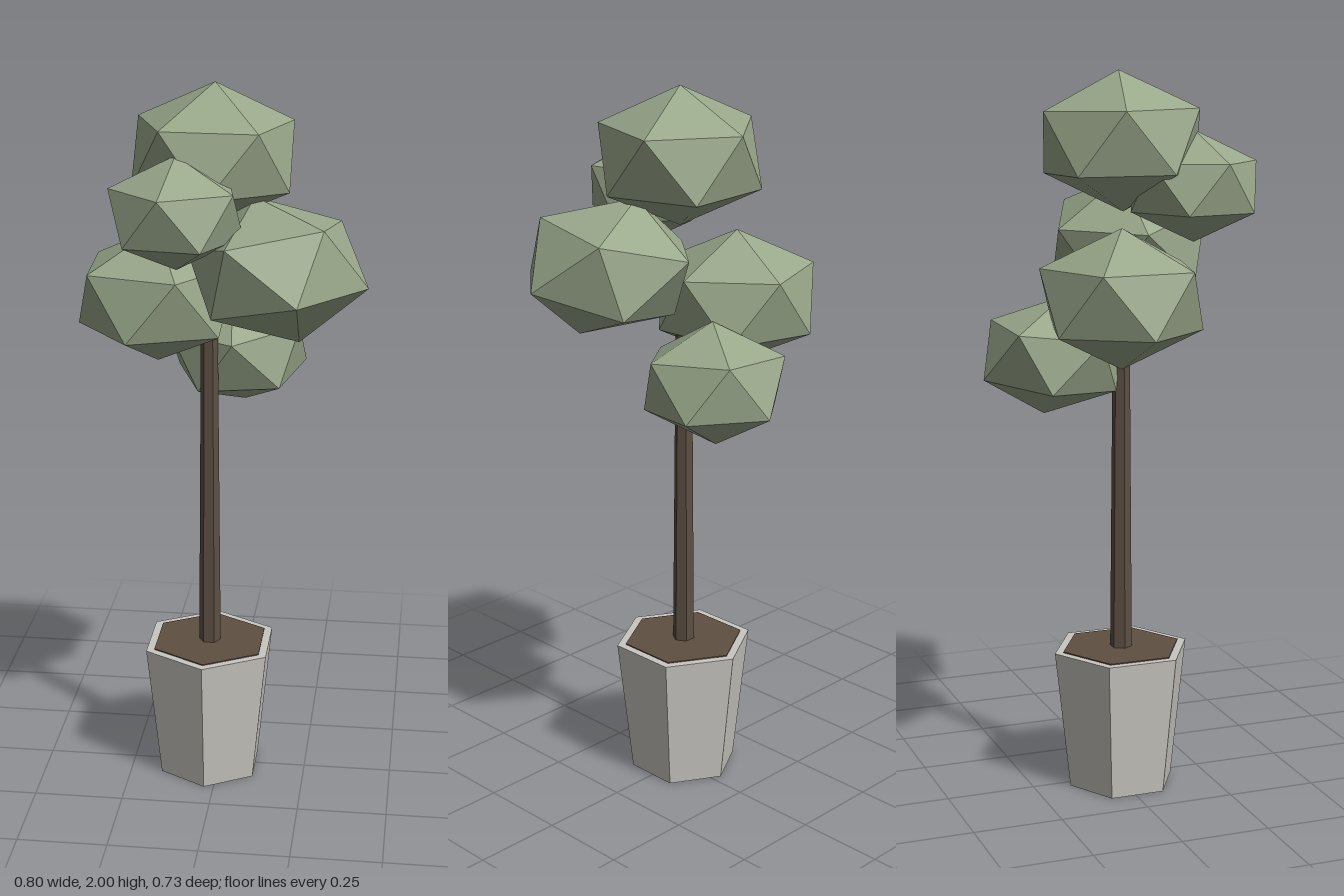
import * as THREE from 'three';

const material = (name, color, flatShading = true) => {
  const m = new THREE.MeshStandardMaterial({ color, flatShading });
  m.name = name;
  return m;
};

// Rotation frame whose first axis is a and whose second axis leans toward b
function frame(a, b) {
  const u = a.clone().normalize();
  const w = b.clone().addScaledVector(u, -b.dot(u)).normalize();
  return new THREE.Matrix4().makeBasis(u, w, new THREE.Vector3().crossVectors(u, w));
}

// Squashed icosahedron with one corner along "apex" and the next toward "neighbour"
function leafBall(radius, apex, neighbour) {
  const t = (1 + Math.sqrt(5)) / 2;
  const source = frame(new THREE.Vector3(-1, t, 0), new THREE.Vector3(1, t, 0));
  const target = frame(new THREE.Vector3(...apex), new THREE.Vector3(...neighbour));
  const geometry = new THREE.IcosahedronGeometry(radius, 0);
  geometry.applyMatrix4(target.multiply(source.transpose()));
  geometry.scale(1, 0.77, 1);
  return geometry;
}

// Neighbour direction for balls standing upright, turned by an angle in degrees
const turned = (deg) => [Math.cos(deg * Math.PI / 180), 0, Math.sin(deg * Math.PI / 180)];

export function createModel() {
  const group = new THREE.Group();
  group.name = 'pottedTree';

  const concrete = material('pale concrete', 0xc8c6c0);
  const earth = material('brown soil', 0x5f4f42);
  const bark = material('dark bark', 0x5c4f43);
  const leaves = material('sage green leaves', 0x99a78a);

  const add = (name, geometry, mat, x, y, z) => {
    const mesh = new THREE.Mesh(geometry, mat);
    mesh.name = name;
    mesh.position.set(x, y, z);
    group.add(mesh);
  };

  // Tapered six-sided pot with soil on top
  const cx = -0.027, cz = 0.005, potHeight = 0.396;
  add('pot', new THREE.CylinderGeometry(0.197, 0.153, potHeight, 6), concrete, cx, potHeight / 2, cz);
  add('soil', new THREE.CylinderGeometry(0.172, 0.172, 0.006, 6), earth, cx, potHeight, cz);

  // Slim six-sided trunk reaching into the crown
  const trunk = new THREE.CylinderGeometry(0.022, 0.031, 1.1, 6);
  trunk.rotateY(Math.PI / 6);
  add('trunk', trunk, bark, cx, potHeight + 0.55, cz);

  // Crown: radius, centre, apex direction, neighbouring corner direction
  const up = [0, 1, 0];
  const balls = [
    ['topFoliage', 0.245, [-0.015, 1.81, 0.008], [0.02, 1, -0.02], turned(-92)],
    ['upperFrontFoliage', 0.195, [-0.09, 1.69, 0.19], up, turned(26)],
    ['leftFoliage', 0.25, [0.165, 1.525, 0.1], [0.205, -0.038, 0.03], [0.045, -0.05, 0.235]],
    ['rightFoliage', 0.244, [-0.177, 1.405, -0.05], up, turned(-75)],
    ['lowerBackFoliage', 0.214, [0.035, 1.23, -0.17], [0.105, 0.13, -0.16], [-0.11, 0.115, -0.155]],
  ];
  for (const [name, radius, centre, apex, neighbour] of balls) {
    add(name, leafBall(radius, apex, neighbour), leaves, ...centre);
  }

  return group;
}
